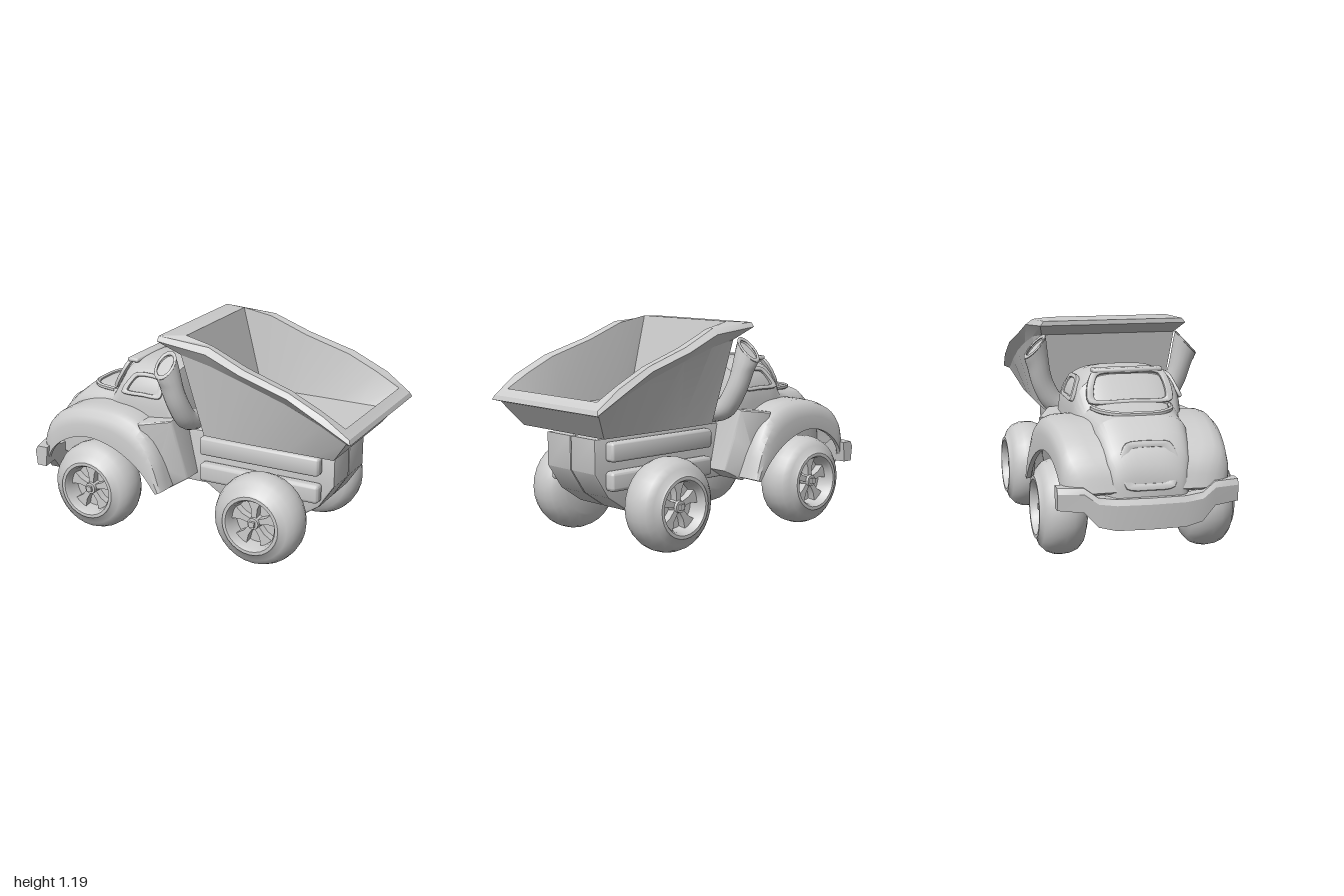
import * as THREE from 'three';
import { toCreasedNormals } from 'three/addons/utils/BufferGeometryUtils.js';
import { RoundedBoxGeometry } from 'three/addons/geometries/RoundedBoxGeometry.js';

const V = (x, y, z) => new THREE.Vector3(x, y, z);
const mat = new THREE.MeshStandardMaterial({ color: 0xcccccc, side: THREE.DoubleSide });

function add(parent, name, geo, crease = 0.6) {
  const mesh = new THREE.Mesh(toCreasedNormals(geo, crease), mat);
  mesh.name = name;
  parent.add(mesh);
  return mesh;
}

// Moves every vertex of a geometry by a rule
function warp(geo, rule) {
  const pos = geo.attributes.position, p = V(0, 0, 0);
  for (let i = 0; i < pos.count; i++) {
    rule(p.fromBufferAttribute(pos, i));
    pos.setXYZ(i, p.x, p.y, p.z);
  }
  return geo;
}

// Closed solid through rings of equal length, capped at both ends, faces outward
function loft(rings) {
  const n = rings[0].length, pts = rings.flat(), idx = [];
  for (let i = 0; i < rings.length - 1; i++)
    for (let j = 0; j < n; j++) {
      const a = i * n + j, b = i * n + (j + 1) % n, c = a + n, d = b + n;
      idx.push(a, b, d, a, d, c);
    }
  for (const [start, flip] of [[0, true], [(rings.length - 1) * n, false]]) {
    const centre = V(0, 0, 0);
    for (let j = 0; j < n; j++) centre.addScaledVector(pts[start + j], 1 / n);
    const k = pts.push(centre) - 1;
    for (let j = 0; j < n; j++) {
      const a = start + j, b = start + (j + 1) % n;
      idx.push(k, flip ? b : a, flip ? a : b);
    }
  }
  let volume = 0;
  for (let i = 0; i < idx.length; i += 3)
    volume += pts[idx[i]].dot(pts[idx[i + 1]].clone().cross(pts[idx[i + 2]]));
  if (volume < 0) idx.reverse();
  const geo = new THREE.BufferGeometry().setFromPoints(pts);
  geo.setIndex(idx);
  return geo;
}

const shapeOf = (pts) => new THREE.Shape(pts.map(([x, y]) => new THREE.Vector2(x, y)));
const curve2 = (pts) => new THREE.CatmullRomCurve3(pts.map(([x, y]) => V(x, y, 0)));

// Window or grille surround: rounded outline with a rounded hole
function frameGeo(pts, inset, depth) {
  const outline = (s) => new THREE.CatmullRomCurve3(
    pts.map(([x, y]) => V(x * s, y * s, 0)), true, 'catmullrom', 0.35).getPoints(32).slice(0, -1);
  const shape = new THREE.Shape(outline(1));
  shape.holes.push(new THREE.Path(outline(inset)));
  return new THREE.ExtrudeGeometry(shape, {
    depth, bevelEnabled: true, bevelSize: 0.006, bevelThickness: 0.006, bevelSegments: 2 });
}

function makeWheel() {
  const wheel = new THREE.Group();
  const profile = [[0, -0.125], [0.155, -0.125], [0.168, -0.12], [0.205, -0.108],
    [0.235, -0.08], [0.251, -0.04], [0.255, 0], [0.251, 0.04], [0.235, 0.08], [0.205, 0.108],
    [0.172, 0.12], [0.165, 0.13], [0.147, 0.13], [0.135, 0.11], [0.125, 0.035], [0, 0.035]];
  add(wheel, 'tire', new THREE.LatheGeometry(
    profile.map(([r, y]) => new THREE.Vector2(r, y)), 28).rotateX(Math.PI / 2), 0.7);
  for (let i = 0; i < 5; i++) {
    const spoke = shapeOf([[-0.014, 0.02], [0.014, 0.02], [0.018, 0.08], [0.04, 0.13],
      [-0.04, 0.13], [-0.018, 0.08]]);
    const geo = new THREE.ExtrudeGeometry(spoke, { depth: 0.045, bevelEnabled: false });
    add(wheel, 'spoke', geo.translate(0, 0, 0.034).rotateZ(i * Math.PI * 0.4));
  }
  add(wheel, 'hubCap', new THREE.CylinderGeometry(0.032, 0.038, 0.06, 12)
    .rotateX(Math.PI / 2).translate(0, 0, 0.065));
  add(wheel, 'hubNut', new THREE.BoxGeometry(0.03, 0.03, 0.03).translate(0, 0, 0.095));
  return wheel;
}

// Hood and cab: arched cross-sections along x
function cabGeo() {
  const stations = [[-0.955, 0.16, 0.49], [-0.94, 0.19, 0.55], [-0.90, 0.215, 0.63], [-0.83, 0.23, 0.70],
    [-0.75, 0.245, 0.765], [-0.62, 0.255, 0.783], [-0.53, 0.275, 0.80], [-0.455, 0.295, 0.94],
    [-0.40, 0.3, 0.967], [-0.25, 0.31, 0.967], [-0.14, 0.315, 0.95], [-0.085, 0.315, 0.72]];
  return loft(stations.map(([x, w, top]) => {
    const base = Math.min(0.62, top - 0.12), ring = [V(x, 0.34, -w), V(x, 0.34, w)];
    for (let i = 0; i <= 20; i++) {
      const a = Math.PI * i / 20, c = Math.cos(a), s = Math.max(0, Math.sin(a));
      ring.push(V(x, base + (top - base) * s ** 0.6, w * Math.sign(c) * Math.abs(c) ** 0.6));
    }
    return ring;
  }));
}

// Fender: hollow rounded shell swept over the wheel arch, widening to the rear
function fenderGeo(side) {
  const outer = curve2([[-0.95, 0.42], [-0.91, 0.54], [-0.82, 0.645], [-0.67, 0.71], [-0.5, 0.73],
    [-0.35, 0.72], [-0.23, 0.665], [-0.14, 0.53], [-0.08, 0.33]]);
  const inner = curve2([[-0.87, 0.37], [-0.83, 0.44], [-0.76, 0.5], [-0.66, 0.545], [-0.55, 0.56],
    [-0.43, 0.54], [-0.31, 0.49], [-0.2, 0.41], [-0.12, 0.315]]);
  const section = [[0, 1, 0], [0.45, 1, 0], [0.72, 1, -0.012], [0.9, 1, -0.04], [0.98, 1, -0.08],
    [1, 1, -0.14], [1, 0.1, 0], [0.85, 0.1, 0], [0.85, 1, -0.14], [0.7, 1, -0.05], [0, 1, -0.025]];
  const rings = [];
  for (let i = 0; i <= 28; i++) {
    const o = outer.getPoint(i / 28), q = inner.getPoint(i / 28);
    rings.push(section.map(([m, k, dz]) => {
      const p = q.clone().lerp(o, m);
      const nose = 0.08 * Math.max(0, (-0.84 - p.x) / 0.11) ** 2;
      p.z = side * (k * (0.495 + 0.075 * (p.x + 0.1) - nose) + dz);
      return p;
    }));
  }
  return loft(rings);
}

// Tipping bed: one shell through its rims, outside bottom to inside floor
function bedGeo() {
  const rims = [
    [[0.10, 0.645, 0.33], [0.2, 0.645, 0.335], [0.35, 0.645, 0.34], [0.6, 0.645, 0.34], [0.75, 0.645, 0.34], [0.87, 0.645, 0.34]],
    [[-0.01, 1.10, 0.38], [0.17, 1.07, 0.40], [0.38, 1.01, 0.41], [0.62, 0.935, 0.415], [0.82, 0.85, 0.415], [0.965, 0.775, 0.415]],
    [[-0.14, 1.165, 0.41], [0.17, 1.14, 0.44], [0.38, 1.06, 0.455], [0.65, 0.98, 0.462], [0.84, 0.88, 0.462], [1.0, 0.785, 0.447]],
    [[-0.14, 1.19, 0.39], [0.17, 1.17, 0.40], [0.38, 1.085, 0.42], [0.65, 1.005, 0.435], [0.85, 0.91, 0.44], [0.99, 0.81, 0.435]],
    [[0.0, 1.198, 0.335], [0.17, 1.165, 0.35], [0.38, 1.08, 0.362], [0.64, 1.0, 0.375], [0.81, 0.92, 0.378], [0.945, 0.845, 0.378]],
    [[0.125, 0.735, 0.325], [0.22, 0.735, 0.325], [0.36, 0.735, 0.33], [0.6, 0.735, 0.33], [0.74, 0.735, 0.33], [0.835, 0.735, 0.33]]];
  return loft(rims.map((rim) => {
    const half = rim.map((p) => V(...p));
    return half.concat(half.map((p) => V(p.x, p.y, -p.z)).reverse());
  }));
}

// Bumper: curved bar with raised ends and a dropped middle
function bumperGeo() {
  const stations = [[0, 0.23, 0.39], [0.18, 0.23, 0.39], [0.27, 0.25, 0.40], [0.34, 0.325, 0.45], [0.47, 0.335, 0.45]];
  const all = stations.slice(1).reverse().map(([z, a, b]) => [-z, a, b]).concat(stations);
  return loft(all.map(([z, lo, hi]) => {
    const x = -1 + 0.07 * (z / 0.47) ** 2;
    return [V(x + 0.01, lo, z), V(x, hi - 0.03, z), V(x + 0.015, hi, z), V(x + 0.08, hi, z), V(x + 0.07, lo, z)];
  }));
}

// Exhaust stack: elbow out from under the bed, rising to a mouth cut to face outward
function addExhaust(truck, s) {
  const mitre = (p) => {
    p.y -= 0.85 * THREE.MathUtils.smoothstep(p.y, 0.9, 1.03) * (Math.abs(p.z) - 0.43);
  };
  const path = new THREE.CatmullRomCurve3([V(-0.015, 0.69, s * 0.22), V(-0.02, 0.72, s * 0.31),
    V(-0.035, 0.82, s * 0.375), V(-0.06, 0.95, s * 0.413), V(-0.078, 1.045, s * 0.43)]);
  add(truck, 'exhaustStack', warp(new THREE.TubeGeometry(path, 24, 0.06, 16), mitre), 1);
  const turn = new THREE.Quaternion().setFromUnitVectors(V(0, 1, 0), path.getTangent(1));
  const end = path.getPoint(1), deep = path.getPoint(0.93);
  const lip = new THREE.TorusGeometry(0.054, 0.008, 8, 20).rotateX(Math.PI / 2);
  add(truck, 'exhaustLip', warp(lip.applyQuaternion(turn).translate(end.x, end.y, end.z), mitre), 1);
  const plug = new THREE.CylinderGeometry(0.056, 0.056, 0.01, 16);
  add(truck, 'exhaustPlug', warp(plug.applyQuaternion(turn).translate(deep.x, deep.y, deep.z), mitre));
}

export function createModel() {
  const truck = new THREE.Group();
  truck.name = 'dumpTruck';

  add(truck, 'cab', cabGeo(), 0.5);
  add(truck, 'bumper', bumperGeo(), 0.4);
  add(truck, 'bed', bedGeo(), 0.35);

  // Chassis with sloped tail
  const chassis = shapeOf([[-0.85, 0.32], [0.05, 0.32], [0.2, 0.225], [0.6, 0.225], [0.725, 0.31],
    [0.81, 0.44], [0.81, 0.61], [-0.12, 0.61], [-0.2, 0.4], [-0.85, 0.4]]);
  for (const s of [-1, 1])
    add(truck, 'chassisHalf', new THREE.ExtrudeGeometry(chassis, { depth: 0.18, bevelEnabled: true,
      bevelSize: 0.01, bevelThickness: 0.01, bevelSegments: 2 }).translate(0, 0, s * 0.102 - 0.09));
  add(truck, 'bedPivot', new THREE.BoxGeometry(0.08, 0.06, 0.3).translate(0.2, 0.625, 0));

  // Grille on the nose
  const square = [[-0.12, -0.11], [0, -0.12], [0.12, -0.11], [0.15, 0.02], [0.11, 0.11], [0, 0.12], [-0.11, 0.11], [-0.15, 0.02]];
  const grille = add(truck, 'grilleFrame', frameGeo(square, 0.8, 0.03));
  grille.position.set(-0.895, 0.535, 0);
  grille.rotation.y = -Math.PI / 2;
  grille.rotateX(-0.32);

  // Windshield surround, visor and hood cowl
  const pane = [[-0.22, -0.08], [0, -0.085], [0.22, -0.08], [0.19, 0.08], [0, 0.09], [-0.19, 0.08]];
  const windshield = add(truck, 'windshieldFrame', frameGeo(pane, 0.88, 0.01));
  windshield.position.set(-0.488, 0.872, 0);
  windshield.rotation.y = -Math.PI / 2;
  windshield.rotateX(-0.45);
  add(truck, 'roofVisor', new RoundedBoxGeometry(0.07, 0.025, 0.38, 2, 0.01).translate(-0.435, 0.958, 0));
  const cowl = new THREE.CatmullRomCurve3([V(-0.54, 0.775, 0.21), V(-0.66, 0.775, 0.18), V(-0.725, 0.77, 0.1),
    V(-0.735, 0.77, 0), V(-0.725, 0.77, -0.1), V(-0.66, 0.775, -0.18), V(-0.54, 0.775, -0.21)]);
  add(truck, 'hoodCowl', new THREE.TubeGeometry(cowl, 24, 0.014, 6), 1);

  for (const s of [-1, 1]) {
    add(truck, 'fender', fenderGeo(s), 0.6);
    addExhaust(truck, s);

    // Panel behind the fender, tapering in toward the chassis
    const panel = shapeOf([[-0.25, 0.68], [-0.09, 0.7], [-0.06, 0.55], [-0.02, 0.37], [-0.1, 0.32], [-0.15, 0.45]]);
    const panelGeo = new THREE.ExtrudeGeometry(panel, { depth: 0.2, bevelEnabled: true, bevelSize: 0.008,
      bevelThickness: 0.015, bevelSegments: 2 }).translate(0, 0, s * 0.325 - 0.1);
    add(truck, 'rearPanel', warp(panelGeo, (p) => { p.z *= 1 - 1.5 * Math.max(0, p.x + 0.2); }));

    // Side window surround
    const outline = [[-0.13, -0.055], [0, -0.06], [0.11, -0.055], [0.105, 0.05], [0, 0.065], [-0.075, 0.05]];
    const win = add(truck, 'sideWindowFrame', frameGeo(outline, 0.82, 0.01).translate(0, 0, -0.005));
    win.position.set(-0.305, 0.855, s * 0.275);
    win.rotation.x = -s * 0.42;

    // Side rails on the chassis
    for (const y of [0.55, 0.395])
      add(truck, 'sideRail', new RoundedBoxGeometry(0.72, 0.105, 0.07, 3, 0.02).translate(0.39, y, s * 0.23));

    for (const x of [-0.55, 0.48]) {
      const wheel = makeWheel();
      wheel.name = x < 0 ? 'frontWheel' : 'rearWheel';
      wheel.position.set(x, 0.264, s * 0.393);
      if (s < 0) wheel.rotation.y = Math.PI;
      truck.add(wheel);
    }
  }
  for (const x of [-0.55, 0.48])
    add(truck, 'axle', new THREE.CylinderGeometry(0.02, 0.02, 0.6, 12).rotateX(Math.PI / 2).translate(x, 0.27, 0));
  return truck;
}
